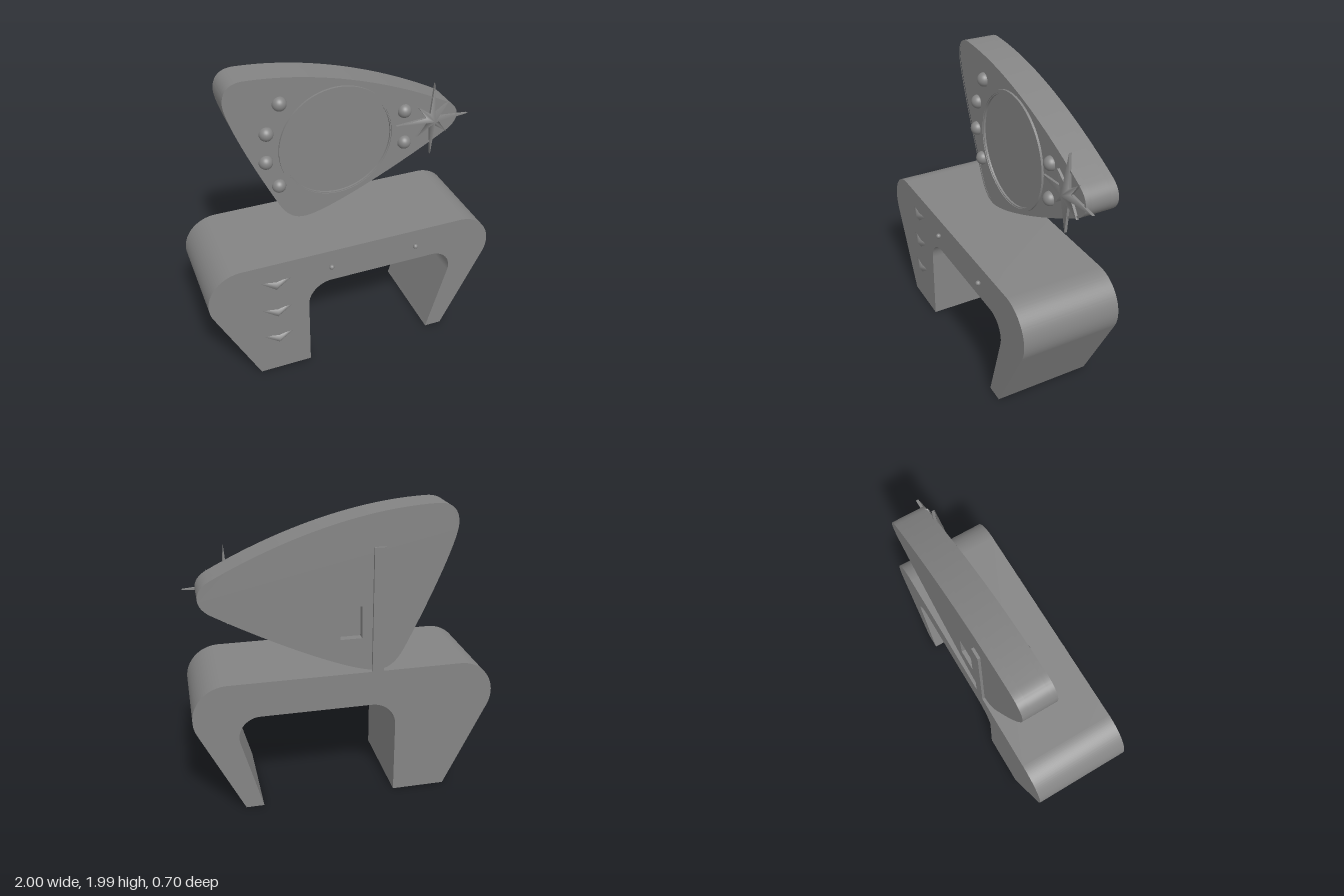
import * as THREE from 'three';
import { toCreasedNormals } from 'three/addons/utils/BufferGeometryUtils.js';

const grey = new THREE.MeshStandardMaterial({ color: 0x848484 });
const rad = THREE.MathUtils.degToRad;

function add(parent, name, geometry, x = 0, y = 0, z = 0) {
  const mesh = new THREE.Mesh(geometry, grey);
  mesh.name = name;
  mesh.position.set(x, y, z);
  parent.add(mesh);
  return mesh;
}

// Extrude a shape between two depths, smooth on curves and sharp on corners
function slab(shape, z0, z1) {
  const g = new THREE.ExtrudeGeometry(shape, { depth: z1 - z0, bevelEnabled: false, curveSegments: 48 });
  g.translate(0, 0, z0);
  return toCreasedNormals(g, rad(25));
}

// Softly shaded low pyramid over a closed, counter-clockwise outline
function pyramid(outline, height) {
  const n = outline.length;
  const points = [...outline.map(([x, y]) => [x, y, 0]), [0, 0, height]];
  const g = new THREE.BufferGeometry();
  g.setAttribute('position', new THREE.Float32BufferAttribute(points.flat(), 3));
  g.setIndex(outline.flatMap((_, i) => [i, (i + 1) % n, n]));
  g.computeVertexNormals();
  return g;
}

function deskShape() {
  const s = new THREE.Shape();
  s.moveTo(-0.69, 0);
  s.lineTo(-0.33, 0);
  s.absarc(-0.165, 0.51, 0.165, Math.PI, Math.PI / 2, true);
  s.absarc(0.57, 0.533, 0.142, Math.PI / 2, rad(-16), true);
  s.lineTo(0.57, 0);
  s.lineTo(0.69, 0);
  s.absarc(0.77, 0.685, 0.23, rad(-27), Math.PI / 2, false);
  s.absarc(-0.77, 0.685, 0.23, Math.PI / 2, rad(207), false);
  s.closePath();
  return s;
}

// Rounded three-cornered outline of the mirror board, clockwise
function boardPoints() {
  const s = new THREE.Shape();
  s.moveTo(-0.703, 1.86);
  s.bezierCurveTo(-0.703, 1.95, -0.65, 1.995, -0.56, 1.993);
  s.bezierCurveTo(-0.05, 1.982, 0.45, 1.8, 0.837, 1.597);
  s.bezierCurveTo(0.945, 1.54, 0.94, 1.437, 0.837, 1.378);
  s.bezierCurveTo(0.5, 1.18, 0, 0.938, -0.18, 0.921);
  s.bezierCurveTo(-0.27, 0.913, -0.33, 0.955, -0.39, 1.08);
  s.bezierCurveTo(-0.5, 1.3, -0.703, 1.74, -0.703, 1.86);
  return s.getPoints(24).slice(0, -1);
}

function inset(points, d) {
  const n = points.length;
  return points.map((p, i) => {
    const t = points[(i + 1) % n].clone().sub(points[(i + n - 1) % n]).normalize();
    return new THREE.Vector2(p.x + t.y * d, p.y - t.x * d);
  });
}

function circle(Type, r) {
  const c = new Type();
  c.absarc(0.04, 1.445, r, 0, Math.PI * 2, false);
  return c;
}

function ringShape(outer, inner) {
  const s = circle(THREE.Shape, outer);
  s.holes.push(circle(THREE.Path, inner));
  return s;
}

// Eight-pointed star: long spikes on the axes, short ones between
function starOutline() {
  const points = [];
  for (let i = 0; i < 16; i++) {
    const r = i % 2 ? 0.05 : i % 4 ? 0.16 : 0.268;
    const a = (i * Math.PI) / 8;
    points.push([r * Math.cos(a), r * Math.sin(a)]);
  }
  return points;
}

export function createModel() {
  const model = new THREE.Group();
  model.name = 'vanityDesk';

  // Desk with one wide leg and one slanted leg
  const desk = new THREE.Group();
  desk.name = 'desk';
  model.add(desk);
  add(desk, 'deskBody', slab(deskShape(), -0.35, 0.32));
  const chevron = [[0, -0.04], [0.1, 0.035], [0.05, 0.033], [0, 0.022], [-0.05, 0.033], [-0.1, 0.035]];
  for (let i = 0; i < 3; i++) add(desk, 'drawerPull', pyramid(chevron, 0.026), -0.55, 0.745 - i * 0.233, 0.32);
  for (const x of [-0.173, 0.432]) {
    add(desk, 'drawerKnob', new THREE.SphereGeometry(0.017, 20, 14), x, 0.795, 0.335);
    add(desk, 'knobStem', new THREE.CylinderGeometry(0.006, 0.006, 0.02, 12), x, 0.795, 0.326).rotation.x = Math.PI / 2;
  }

  // Mirror board, layered so the back pocket and mirror recess are real
  const board = new THREE.Group();
  board.name = 'mirrorBoard';
  model.add(board);
  const outline = boardPoints();

  const back = new THREE.Shape(outline);
  const pocket = [[-0.098, 1.15], [0.045, 1.15], [0.045, 1.365], [-0.098, 1.365]];
  back.holes.push(new THREE.Path(pocket.map(([x, y]) => new THREE.Vector2(x, y))));
  add(board, 'boardBack', slab(back, -0.332, -0.28));
  add(board, 'boardCore', slab(new THREE.Shape(outline), -0.28, -0.145));

  const face = new THREE.Shape(outline);
  face.holes.push(circle(THREE.Path, 0.385));
  add(board, 'boardFace', slab(face, -0.145, -0.115));

  const rim = new THREE.Shape(outline);
  rim.holes.push(new THREE.Path(inset(outline, 0.014)));
  add(board, 'boardRim', slab(rim, -0.115, -0.106));

  // Stepped ring around the round glass
  add(board, 'mirrorRing', slab(ringShape(0.405, 0.385), -0.115, -0.1));
  add(board, 'mirrorRingStep', slab(ringShape(0.385, 0.378), -0.145, -0.106));
  add(board, 'mirrorGlass', slab(circle(THREE.Shape, 0.378), -0.145, -0.12));

  // Round lamps beside the mirror
  const lamps = [[-0.345, 1.8], [-0.44, 1.605], [-0.452, 1.4], [-0.372, 1.203], [0.519, 1.585], [0.527, 1.346]];
  for (const [x, y] of lamps) add(board, 'lamp', new THREE.SphereGeometry(0.048, 28, 20), x, y, -0.115);

  // Star with a thin base plate and a raised centre
  const star = new THREE.Group();
  star.name = 'starOrnament';
  star.position.set(0.728, 1.485, -0.098);
  board.add(star);
  const starPoints = starOutline();
  add(star, 'starPlate', slab(new THREE.Shape(starPoints.map(([x, y]) => new THREE.Vector2(x, y))), -0.018, 0));
  add(star, 'starRelief', pyramid(starPoints, 0.042), 0, 0, 0.0005);

  // Post that carries the board on the desk
  add(model, 'supportPost', new THREE.BoxGeometry(0.075, 0.828, 0.02), -0.203, 1.329, -0.34);
  return model;
}
